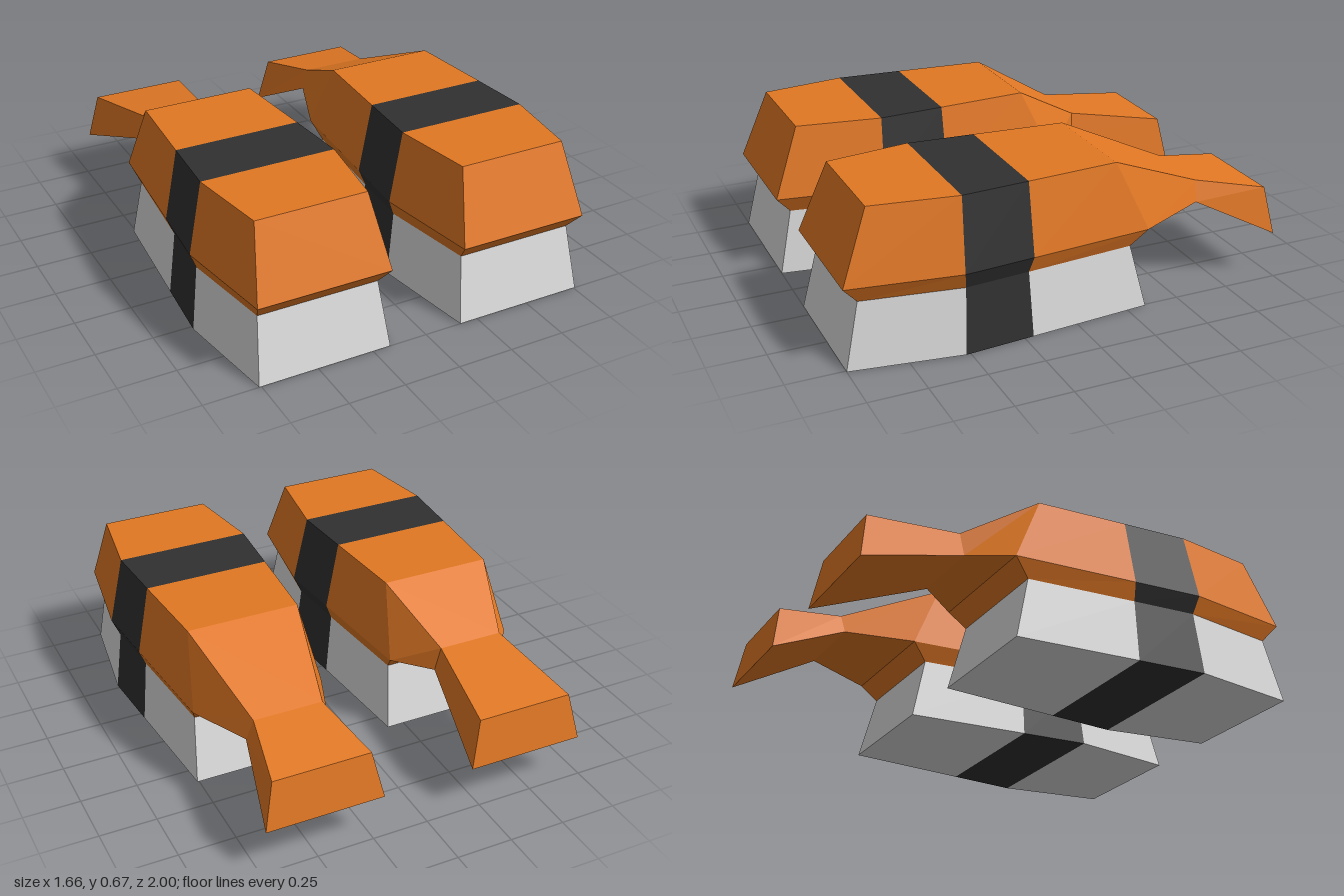
import * as THREE from 'three';

const material = (name, color) => {
  const m = new THREE.MeshStandardMaterial({ color, flatShading: true });
  m.name = name;
  return m;
};

// Heights of the four levels: rice base, rice top, topping rim, topping crown
const Y = [0, 0.285, 0.36, 0.67];

// Stations from front to back: z and half width at each level
const STATIONS = [
  { z: [1, 0.935, 1, 0.88], w: [0.295, 0.267, 0.295, 0.245] },
  { z: [0.52, 0.505, 0.52, 0.505], w: [0.365, 0.333, 0.365, 0.3] },
  { z: [0.21, 0.22, 0.21, 0.21], w: [0.34, 0.31, 0.34, 0.28] },
  { z: [-0.34, -0.27, -0.34, -0.2], w: [0.295, 0.267, 0.295, 0.25] },
];

// Closed cross-section: up the +x side, then down the -x side
function ring(levels) {
  const up = levels.map(([w, y, z]) => [w, y, z]);
  const down = levels.map(([w, y, z]) => [-w, y, z]).reverse();
  return [...up, ...down];
}

// Cross-section of the body at one station, between two levels
function bodyRing(i, lo, hi) {
  const s = STATIONS[i];
  const levels = [];
  for (let k = lo; k <= hi; k++) levels.push([s.w[k], Y[k], s.z[k]]);
  return ring(levels);
}

// Skin the rings from front to back, with optional end caps
function loft(name, mat, rings, capFront, capBack) {
  const pos = [];
  const quad = (a, b, c, d) => pos.push(...a, ...b, ...c, ...a, ...c, ...d);
  const n = rings[0].length;
  for (let i = 0; i < rings.length - 1; i++) {
    const a = rings[i], b = rings[i + 1];
    for (let j = 0; j < n; j++) {
      const k = (j + 1) % n;
      quad(a[j], b[j], b[k], a[k]);
    }
  }
  const f = rings[0], e = rings[rings.length - 1];
  for (let k = 0; k < n / 2 - 1; k++) {
    if (capFront) quad(f[k], f[k + 1], f[n - 2 - k], f[n - 1 - k]);
    if (capBack) quad(e[n - 1 - k], e[n - 2 - k], e[k + 1], e[k]);
  }
  const g = new THREE.BufferGeometry();
  g.setAttribute('position', new THREE.Float32BufferAttribute(pos, 3));
  g.computeVertexNormals();
  const mesh = new THREE.Mesh(g, mat);
  mesh.name = name;
  return mesh;
}

export function createModel() {
  const orange = material('shrimpOrange', 0xe27824);
  const white = material('riceWhite', 0xdcdcdc);
  const dark = material('seaweedBlack', 0x303030);

  function piece(name, x, neck) {
    const g = new THREE.Group();
    g.name = name;
    g.position.x = x;
    const span = (i, lo, hi) => [bodyRing(i, lo, hi), bodyRing(i + 1, lo, hi)];
    g.add(
      // Rice block and topping, in front of and behind the band
      loft('riceFront', white, span(0, 0, 1), true, false),
      loft('riceBack', white, span(2, 0, 1), false, true),
      loft('toppingFront', orange, span(0, 1, 3), true, false),
      loft('toppingBack', orange, span(2, 1, 3), false, true),
      // Seaweed band wrapped all the way round
      loft('seaweedBand', dark, span(1, 0, 3), false, false),
      // Tail narrows to a neck, then flares into a drooping fin
      loft('tail', orange, [
        bodyRing(3, 2, 3),
        ring(neck),
        ring([[0.26, 0.2, -1], [0.215, 0.41, -0.965]]),
      ], false, true),
    );
    return g;
  }

  const model = new THREE.Group();
  model.name = 'shrimpSushiPair';
  model.add(
    piece('leftSushi', 0.463, [[0.183, 0.385, -0.637], [0.153, 0.475, -0.648]]),
    piece('rightSushi', -0.465, [[0.168, 0.375, -0.51], [0.147, 0.485, -0.52]]),
  );
  return model;
}
